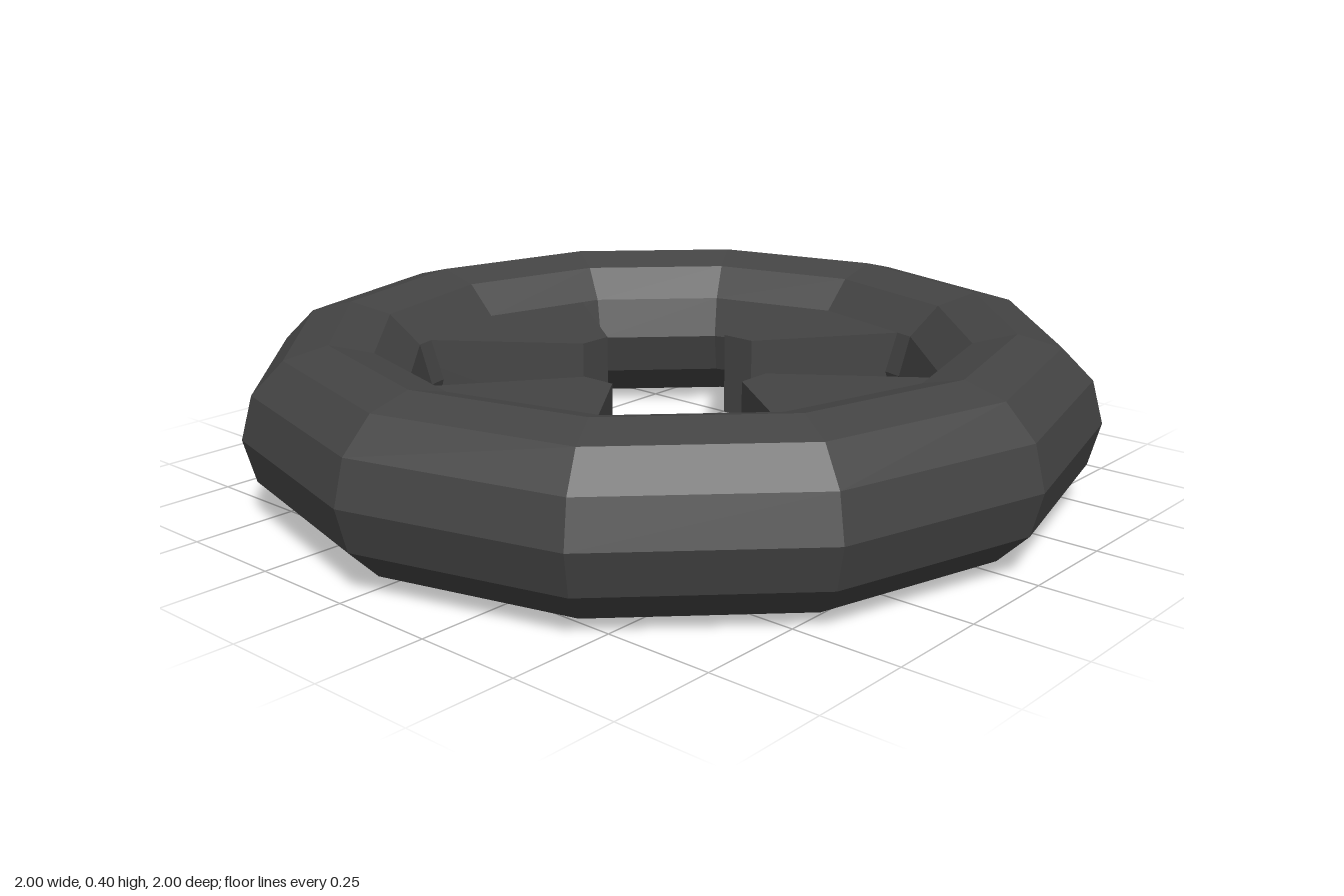
import * as THREE from 'three';

export function createModel() {
  const model = new THREE.Group();
  const material = new THREE.MeshStandardMaterial({ color: 0x444444, flatShading: true });

  // Faceted ring lying flat
  const ring = new THREE.Mesh(new THREE.TorusGeometry(0.8, 0.2, 12, 12).rotateX(Math.PI / 2), material);
  ring.name = 'ring';
  ring.position.y = 0.2;
  model.add(ring);

  // Tapered spoke, narrow end towards the centre, wide end buried in the ring
  const outline = new THREE.Shape([
    new THREE.Vector2(0.25, -0.043),
    new THREE.Vector2(0.7, -0.373),
    new THREE.Vector2(0.7, 0.373),
    new THREE.Vector2(0.25, 0.043),
  ]);
  const spokeGeometry = new THREE.ExtrudeGeometry(outline, { depth: 0.2, bevelEnabled: false });
  spokeGeometry.rotateX(-Math.PI / 2).translate(0, 0.1, 0);

  const names = ['leftSpoke', 'backSpoke', 'rightSpoke', 'frontSpoke'];
  names.forEach((name, i) => {
    const spoke = new THREE.Mesh(spokeGeometry, material);
    spoke.name = name;
    spoke.rotation.y = (i * Math.PI) / 2;
    model.add(spoke);
  });

  return model;
}
